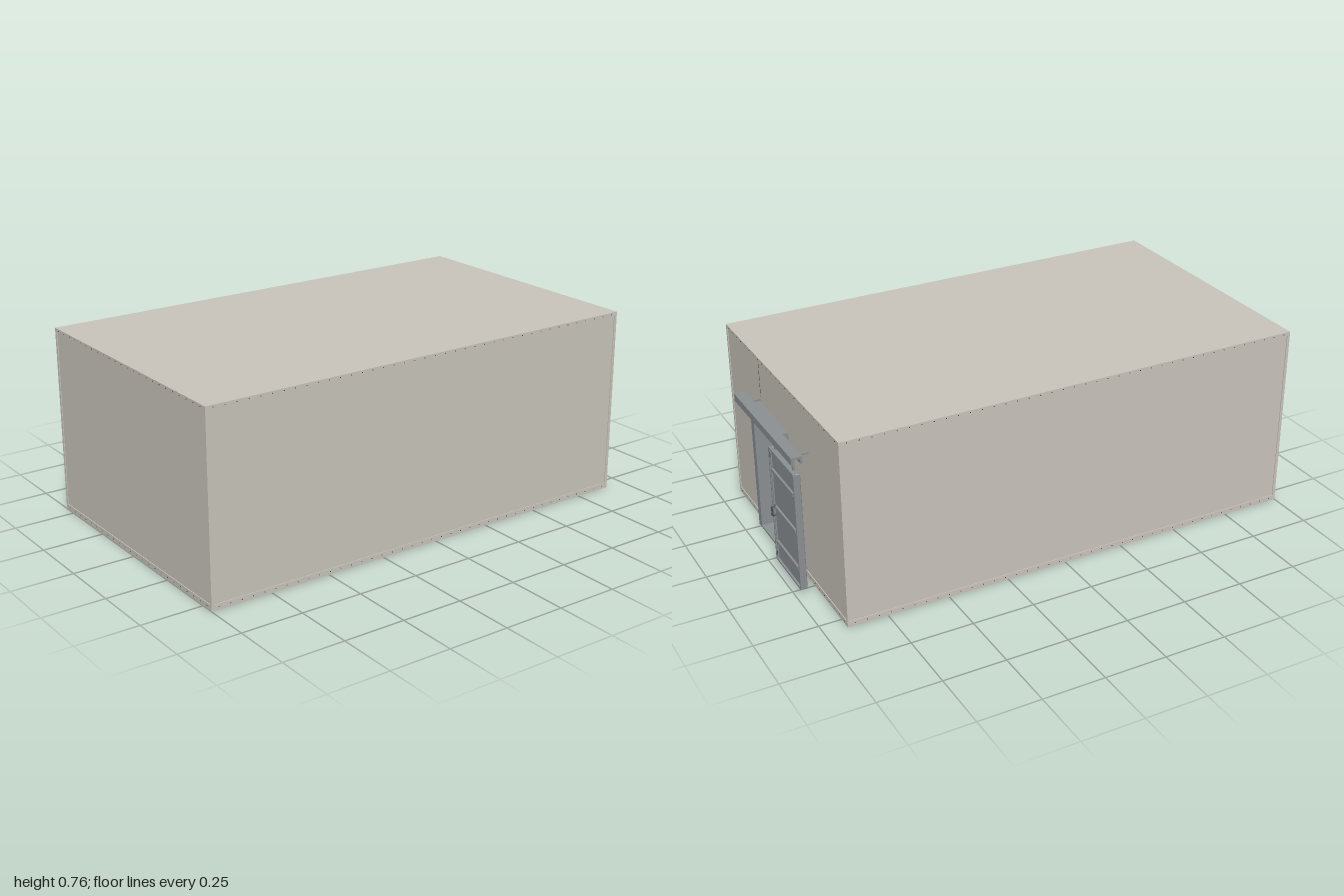
import * as THREE from 'three';
import { mergeGeometries } from 'three/addons/utils/BufferGeometryUtils.js';
import { RoundedBoxGeometry } from 'three/addons/geometries/RoundedBoxGeometry.js';

const mat = (name, color) => Object.assign(new THREE.MeshStandardMaterial({ color }), { name });

export function createModel() {
  const panel = mat('warm grey panel', 0xc9c5bc);
  const inner = mat('off white lining', 0xeeece6);
  const steel = mat('steel grey', 0x8b9093);
  const dark = mat('dark plastic', 0x2e2e37);
  const iron = mat('dark iron', 0x4c5054);

  const root = new THREE.Group();
  root.name = 'shelter';
  const group = (name, parent = root) => {
    const g = new THREE.Group();
    g.name = name;
    parent.add(g);
    return g;
  };
  // Box given by its limits on each axis
  const box = (name, m, x0, x1, y0, y1, z0, z1, parent = root, r = 0) => {
    const s = [x1 - x0, y1 - y0, z1 - z0];
    const geo = r ? new RoundedBoxGeometry(...s, 2, r) : new THREE.BoxGeometry(...s);
    const mesh = new THREE.Mesh(geo, m);
    mesh.name = name;
    mesh.position.set((x0 + x1) / 2, (y0 + y1) / 2, (z0 + z1) / 2);
    parent.add(mesh);
    return mesh;
  };

  // Shell: floor, roof, long walls, closed end and the end with the doorway
  const X0 = -1, X1 = 0.91, Z = 0.558, H = 0.757, W = 0.035, E = 0.003;
  const shell = group('shell');
  box('floor', panel, X0, X1, 0, 0.023, -Z, Z, shell);
  box('roof', panel, X0, X1, 0.742, H, -Z, Z, shell);
  for (const s of [-1, 1]) {
    const a = s * (Z - E), b = s * (Z - W);
    box('longWall', panel, X0 + E, X1 - E, 0.023, 0.742, Math.min(a, b), Math.max(a, b), shell);
    const c = s * (Z - W - 0.003);
    box('longWallLining', inner, X0 + W, X1 - W, 0.026, 0.739, Math.min(b, c), Math.max(b, c), shell);
  }
  box('closedEnd', panel, X0 + E, X0 + W, 0.023, 0.742, -Z + W, Z - W, shell);
  box('closedEndLining', inner, X0 + W, X0 + W + 0.003, 0.026, 0.739, -Z + W, Z - W, shell);
  box('doorEndLeft', panel, X1 - W, X1 - E, 0.023, 0.742, 0.213, Z - W, shell);
  box('doorEndRight', panel, X1 - W, X1 - E, 0.023, 0.742, -Z + W, -0.035, shell);
  box('doorEndLintel', panel, X1 - W, X1 - E, 0.525, 0.742, -0.035, 0.213, shell);
  box('panelSeam', iron, X1 - E, X1 - E + 0.0006, 0.59, 0.742, 0.2125, 0.2145, shell);
  box('floorLining', inner, X0 + W, X1 - W, 0.023, 0.026, -Z + W, Z - W, shell);
  box('ceilingLining', inner, X0 + W, X1 - W, 0.739, 0.742, -Z + W, Z - W, shell);

  // Corner angles and bolts along the edges
  const leg = 0.012;
  for (const sx of [-1, 1]) for (const sz of [-1, 1]) {
    const xa = sx < 0 ? X0 : X1 - leg, za = sz < 0 ? -Z : Z - leg;
    box('cornerAngle', panel, xa, xa + leg, 0.023, 0.742, za, za + leg, shell);
  }
  const bolts = [];
  const bolt = (x, y, z, alongX) => {
    const g = new THREE.CylinderGeometry(0.002, 0.002, 0.003, 6);
    if (alongX) g.rotateZ(Math.PI / 2); else g.rotateX(Math.PI / 2);
    bolts.push(g.translate(x, y, z));
  };
  for (const y of [0.012, 0.749]) {
    for (let i = 0; i < 40; i++) {
      const x = X0 + 0.03 + i * (X1 - X0 - 0.06) / 39;
      for (const s of [-1, 1]) bolt(x, y, s * Z, false);
    }
    for (let i = 0; i < 24; i++) {
      const z = -Z + 0.03 + i * (2 * Z - 0.06) / 23;
      bolt(X0, y, z, true);
      bolt(X1, y, z, true);
    }
  }
  const boltMesh = new THREE.Mesh(mergeGeometries(bolts), iron);
  boltMesh.name = 'edgeBolts';
  shell.add(boltMesh);

  // Door frame
  const frame = group('doorFrame');
  box('leftJamb', steel, 0.87, 0.945, 0.023, 0.525, 0.208, 0.238, frame);
  box('rightJamb', steel, 0.87, 0.945, 0.023, 0.525, -0.063, -0.033, frame);
  box('header', steel, 0.87, 0.945, 0.525, 0.562, -0.063, 0.238, frame);
  box('sill', steel, 0.87, 0.945, 0.02, 0.028, -0.063, 0.238, frame);

  // Sliding rail: a channel open at the bottom, with wall brackets
  const rail = group('slidingRail');
  box('railTop', steel, 0.947, 0.99, 0.582, 0.592, -0.302, 0.28, rail);
  box('railOuterFace', steel, 0.982, 0.99, 0.562, 0.582, -0.302, 0.28, rail);
  box('railInnerFace', steel, 0.947, 0.955, 0.562, 0.582, -0.302, 0.28, rail);
  for (const z of [-0.258, 0.22]) box('railBracket', steel, 0.905, 0.95, 0.57, 0.578, z - 0.004, z + 0.004, rail);

  // Sliding door with raised rim, ribs, hangers and handle
  const door = group('slidingDoor');
  const D0 = -0.3, D1 = -0.052;
  box('doorLeaf', steel, 0.957, 0.977, 0.032, 0.521, D0, D1, door, 0.004);
  for (const z of [D0, D1 - 0.008]) box('doorRim', steel, 0.972, 0.985, 0.036, 0.517, z, z + 0.008, door);
  for (const y of [0.032, 0.513]) box('doorRim', steel, 0.972, 0.985, y, y + 0.008, D0 + 0.003, D1 - 0.003, door);
  for (const y of [0.118, 0.275, 0.43]) box('doorRib', steel, 0.975, 0.985, y - 0.006, y + 0.006, -0.282, -0.068, door);
  for (const z of [-0.291, -0.061]) {
    box('doorStrip', steel, 0.975, 0.982, 0.05, 0.505, z - 0.004, z + 0.004, door);
    for (const y of [0.06, 0.49]) box('stripClip', iron, 0.98, 0.9835, y - 0.012, y + 0.012, z - 0.003, z + 0.003, door);
  }
  for (const z of [-0.262, -0.088]) {
    box('hanger', steel, 0.964, 0.972, 0.515, 0.575, z - 0.005, z + 0.005, door);
    const wheel = new THREE.Mesh(new THREE.CylinderGeometry(0.009, 0.009, 0.012, 16).rotateZ(Math.PI / 2), iron);
    wheel.name = 'hangerWheel';
    wheel.position.set(0.968, 0.571, z);
    door.add(wheel);
  }
  const grip = new THREE.CatmullRomCurve3([[0.98, 0.282], [0.996, 0.28], [0.996, 0.26], [0.996, 0.242], [0.98, 0.24]]
    .map(([x, y]) => new THREE.Vector3(x, y, -0.078)));
  const handle = new THREE.Mesh(new THREE.TubeGeometry(grip, 16, 0.004, 8), iron);
  handle.name = 'doorHandle';
  door.add(handle);

  // Cabinet bench facing +x along local z, centred on its own origin
  const bench = (name, length, n) => {
    const g = group(name), L = length / 2, w = length / n;
    box('plinth', dark, 0, 0.17, 0.026, 0.06, -L, L, g);
    box('carcass', steel, 0, 0.18, 0.06, 0.23, -L, L, g);
    box('worktop', steel, 0, 0.2, 0.23, 0.242, -L, L, g);
    box('upstand', steel, 0, 0.035, 0.242, 0.28, -L, L, g);
    box('screenBack', steel, 0, 0.02, 0.28, 0.408, -L, L, g);
    for (let i = 0; i < n; i++) {
      const z = -L + (i + 0.5) * w;
      box('cabinetDoor', steel, 0.18, 0.186, 0.064, 0.22, z - w / 2 + 0.005, z + w / 2 - 0.005, g);
      box('cabinetHandle', iron, 0.186, 0.192, 0.14, 0.166, z - w / 2 + 0.02, z - w / 2 + 0.024, g);
      box('screen', dark, 0.02, 0.045, 0.28, 0.398, z - w / 2 + 0.004, z + w / 2 - 0.004, g, 0.005);
      box('keyboard', dark, 0.09, 0.14, 0.242, 0.248, z - 0.04, z + 0.04, g);
      // Rows of small indicator dots
      for (const side of [-1, 1]) for (let k = 0; k < 9; k++) {
        const dz = z + side * 0.04 + (k % 3 - 1) * 0.008, y = 0.298 + Math.floor(k / 3) * 0.007;
        box('indicator', inner, 0.045, 0.0455, y - 0.0012, y + 0.0012, dz - 0.0012, dz + 0.0012, g);
      }
    }
    return g;
  };
  const end = bench('endBench', 1.02, 7);
  end.position.set(X0 + W + 0.004, 0, -0.014);
  for (const s of [-1, 1]) {
    const side = bench('sideBench', 1.4, 9);
    side.rotation.y = s * Math.PI / 2;
    side.position.set(0.1, 0, s * -(Z - W - 0.004));
    side.rotation.y = s > 0 ? -Math.PI / 2 : Math.PI / 2;
  }

  return root;
}
